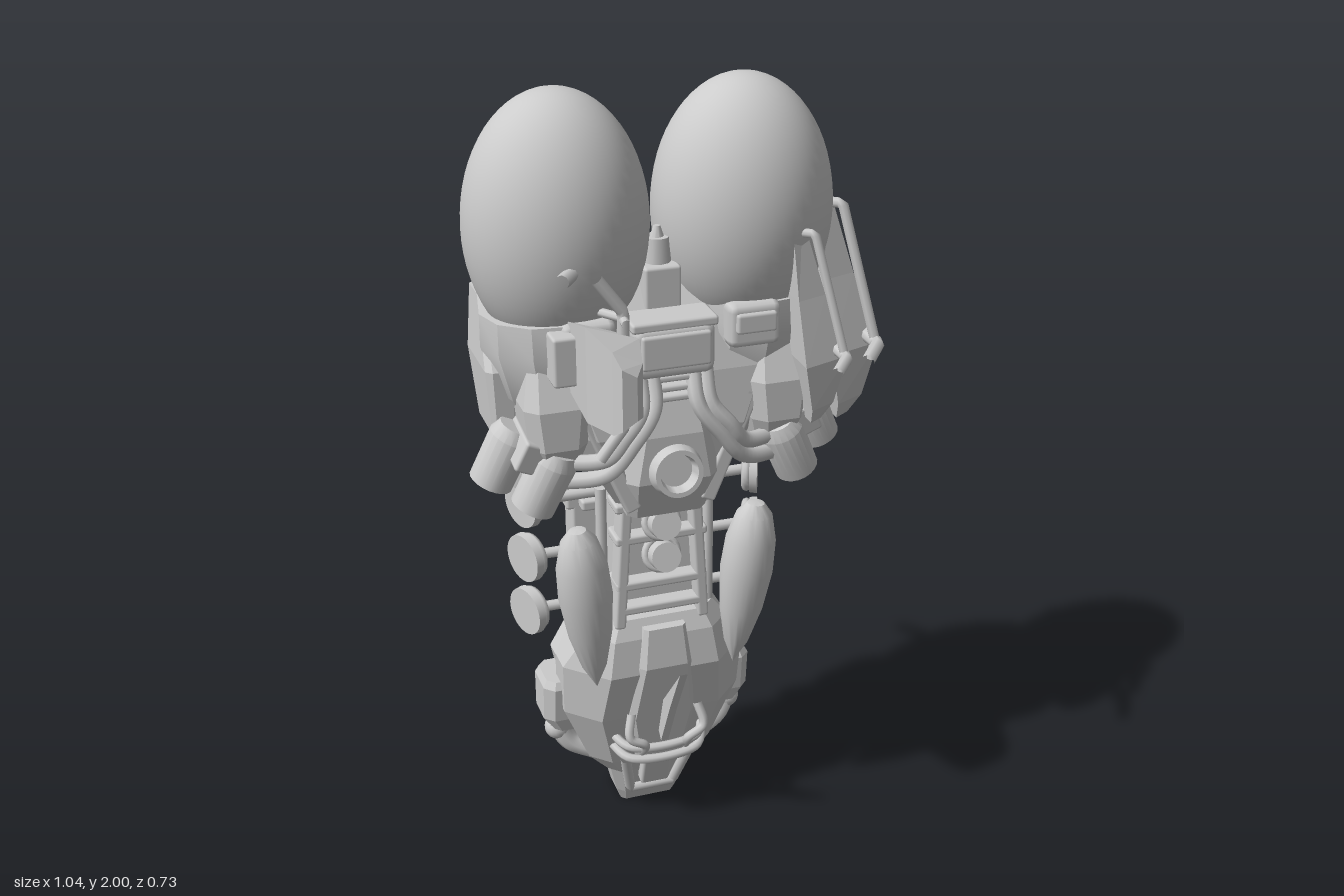
import * as THREE from 'three';
import { toCreasedNormals } from 'three/addons/utils/BufferGeometryUtils.js';
import { RoundedBoxGeometry } from 'three/addons/geometries/RoundedBoxGeometry.js';

const grey = new THREE.MeshStandardMaterial({ color: 0xcccccc });
const V = (x, y, z) => new THREE.Vector3(x, y, z);

function add(parent, name, geo, x = 0, y = 0, z = 0, rx = 0, ry = 0, rz = 0) {
  const m = new THREE.Mesh(geo, grey);
  m.name = name;
  m.position.set(x, y, z);
  m.rotation.set(rx, ry, rz);
  parent.add(m);
  return m;
}
const box = (w, h, d, r = 0.008) => new RoundedBoxGeometry(w, h, d, 1, r);
const cyl = (r1, r2, h, n = 24) => new THREE.CylinderGeometry(r1, r2, h, n);
const lathe = (pts, n = 36) =>
  toCreasedNormals(new THREE.LatheGeometry(pts.map(p => new THREE.Vector2(...p)), n), 0.5);
const tube = (pts, r, bend = true) => {
  const curve = new THREE.CurvePath();
  if (bend) return new THREE.TubeGeometry(new THREE.CatmullRomCurve3(pts), 28, r, 8);
  for (let i = 1; i < pts.length; i++) curve.add(new THREE.LineCurve3(pts[i - 1], pts[i]));
  return new THREE.TubeGeometry(curve, 30, r, 8);
};

// Flat-faced solid through stacked rings of [x, z] points, lowest ring first
function loft(levels) {
  const pos = [], n = levels[0].ring.length;
  const put = (l, j) => pos.push(l.ring[j % n][0], l.y, l.ring[j % n][1]);
  for (let i = 0; i + 1 < levels.length; i++) {
    const a = levels[i], b = levels[i + 1];
    for (let j = 0; j < n; j++) {
      put(a, j); put(b, j); put(a, j + 1);
      put(a, j + 1); put(b, j); put(b, j + 1);
    }
  }
  const lo = levels[0], hi = levels[levels.length - 1];
  for (let j = 1; j < n - 1; j++) {
    put(lo, 0); put(lo, j); put(lo, j + 1);
    put(hi, 0); put(hi, j + 1); put(hi, j);
  }
  const g = new THREE.BufferGeometry();
  g.setAttribute('position', new THREE.Float32BufferAttribute(pos, 3));
  g.computeVertexNormals();
  return g;
}
// Chamfered hull, rows of [y, half width, back z, front z, chamfer]
const hull = rows => loft(rows.map(([y, w, b, f, c]) => ({
  y, ring: [[w, b + c], [w, f - c], [w - c, f], [c - w, f], [-w, f - c], [-w, b + c], [c - w, b], [w - c, b]],
})));

const handlePath = [V(0.4, 1.345, -0.36), V(0.47, 1.345, -0.27), V(0.47, 1.345, 0.055), V(0.4, 1.345, 0.15)];

// Tapered armour pod with two guide rods and a bent cross handle
function pod() {
  const g = new THREE.Group();
  g.name = 'armourPod';
  const rows = [[1.13, 0.4, 0.44, 0.085, 0.06], [1.18, 0.39, 0.47, 0.115, 0.075],
    [1.32, 0.36, 0.505, 0.135, 0.085], [1.5, 0.35, 0.44, 0.09, 0.06], [1.72, 0.34, 0.375, 0.05, 0.035]];
  add(g, 'podShell', loft(rows.map(([y, xi, xo, wi, wo]) => ({
    y, ring: [[xo, -0.1 - wo], [xo, -0.1 + wo], [xi, -0.1 + wi], [xi, -0.1 - wi]],
  }))));
  for (const s of [1, -1]) {
    add(g, 'podRod', tube([V(0.37, 1.68, -0.1 + s * 0.045), V(0.4, 1.68, -0.1 + s * 0.07),
      V(0.47, 1.35, -0.1 + s * 0.135), V(0.465, 1.3, -0.1 + s * 0.135)], 0.013, false));
  }
  add(g, 'podHandle', tube(handlePath, 0.017, false));
  return g;
}

// Round recessed port, opening along its local +y
const port = (r, h) => lathe([[r, 0], [r, h * 0.5], [r * 0.9, h], [r * 0.72, h], [r * 0.62, h * 0.4], [0, h * 0.4]]);

function buildUpper(b) {
  add(b, 'torso', hull([[0.96, 0.1, -0.2, 0.0, 0.03], [1.08, 0.17, -0.24, 0.06, 0.05], [1.2, 0.27, -0.25, 0.08, 0.09],
    [1.34, 0.35, -0.26, 0.07, 0.12], [1.46, 0.34, -0.25, 0.04, 0.12], [1.54, 0.2, -0.2, -0.02, 0.07]]));
  add(b, 'chestPlate', hull([[0.97, 0.1, -0.05, 0.05, 0.02], [1.08, 0.12, -0.05, 0.1, 0.03],
    [1.2, 0.1, -0.05, 0.1, 0.03], [1.36, 0.06, -0.05, 0.06, 0.02]]));
  add(b, 'chestPort', port(0.066, 0.05), 0, 1.11, 0.085, Math.PI / 2 - 0.1);
  add(b, 'backPlate', hull([[1.0, 0.13, -0.25, -0.1, 0.04], [1.12, 0.23, -0.262, -0.1, 0.05],
    [1.34, 0.27, -0.265, -0.1, 0.06], [1.46, 0.16, -0.25, -0.1, 0.05]]));
  add(b, 'upperBackPort', port(0.19, 0.04), 0, 1.22, -0.245, -Math.PI / 2);
  // Head unit and mast
  add(b, 'headBlock', box(0.2, 0.13, 0.2, 0.025), 0, 1.415, 0.015);
  add(b, 'headScreen', box(0.17, 0.085, 0.02), 0, 1.42, 0.11);
  add(b, 'headBrow', box(0.21, 0.025, 0.1), 0, 1.48, 0.06);
  add(b, 'mastBase', box(0.09, 0.12, 0.1), 0, 1.53, -0.03);
  add(b, 'mast', cyl(0.03, 0.035, 0.1, 10), 0, 1.6, -0.03);
  add(b, 'mastTip', cyl(0.008, 0.025, 0.05, 10), 0, 1.65, -0.03);
  for (let i = 0; i < 3; i++) add(b, 'neckCollar', box(0.19 - i * 0.015, 0.018, 0.12), 0, 1.345 - i * 0.025, 0.04);
  // Hoses arching behind the tanks
  for (let i = 0; i < 3; i++) {
    const w = 0.11 - i * 0.02, z = -0.29 + i * 0.04;
    add(b, 'rearHose', tube([V(-w - 0.06, 1.38, z + 0.1), V(-w, 1.47, z + 0.03), V(0, 1.5 + i * 0.03, z - 0.01),
      V(w, 1.47, z + 0.03), V(w + 0.06, 1.38, z + 0.1)], 0.014));
  }
  for (const s of [1, -1]) {
    // Tank, its cradle and the claw behind it
    const tank = add(b, 'eggTank', new THREE.SphereGeometry(1, 48, 32), s * 0.226, 1.69, -0.08);
    tank.scale.set(0.217, 0.31, 0.198);
    const cup = add(b, 'tankCradle', lathe([[0, 0], [0.09, 0], [0.15, 0.1], [0.18, 0.22], [0.175, 0.3], [0.15, 0.3]], 12),
      s * 0.225, 1.2, -0.08, 0, 0, -s * 0.05);
    cup.scale.z = 0.95;
    add(b, 'tankClaw', new THREE.TorusGeometry(0.075, 0.022, 8, 20, 4.2), s * 0.22, 1.45, -0.24, 0.3, 0, -0.55);
    add(b, 'rearFin', hull([[1.2, 0.03, -0.08, 0.08, 0.01], [1.36, 0.04, -0.13, 0.08, 0.015],
      [1.51, 0.025, -0.14, -0.04, 0.01]]), s * 0.375, 0, -0.11);
    add(b, 'shoulderBlock', box(0.13, 0.11, 0.16, 0.02), s * 0.2, 1.45, 0.02);
    add(b, 'shoulderLid', box(0.1, 0.05, 0.02), s * 0.2, 1.46, 0.1);
    add(b, 'hipArmour', hull([[1.1, 0.04, -0.18, 0.06, 0.02], [1.2, 0.07, -0.22, 0.1, 0.03],
      [1.3, 0.08, -0.22, 0.1, 0.03], [1.4, 0.06, -0.18, 0.06, 0.02]]), s * 0.275);
    // Front hoses
    for (let i = 0; i < 2; i++) {
      add(b, 'frontHose', tube([V(s * (0.05 + i * 0.03), 1.36, 0.08), V(s * (0.055 + i * 0.03), 1.28, 0.11),
        V(s * (0.11 + i * 0.02), 1.2 + i * 0.02, 0.12), V(s * 0.17, 1.13 + i * 0.04, 0.11),
        V(s * 0.28, 1.1 + i * 0.05, 0.05)], 0.02));
    }
    add(b, 'chestStrut', box(0.04, 0.3, 0.05), s * 0.15, 1.14, 0.05, 0, 0, -s * 0.4);
    // Thruster cluster
    const cluster = new THREE.Group();
    cluster.name = 'thrusterCluster';
    cluster.position.set(s * 0.345, 1.14, 0);
    cluster.rotation.set(0.15, 0, s * 0.42);
    const nozzle = lathe([[0, -0.06], [0.042, -0.06], [0.046, -0.08], [0.054, -0.08], [0.056, 0.05], [0.042, 0.08], [0, 0.08]], 20);
    for (const [x, z] of [[-0.045, 0.055], [0.045, -0.02], [-0.04, -0.06]]) add(cluster, 'thruster', nozzle, s * x, 0, z);
    add(cluster, 'thrusterMount', box(0.12, 0.08, 0.16), -0.01 * s, 0.05, 0);
    b.add(cluster);
  }
}

function buildWaist(b) {
  add(b, 'waistCore', box(0.2, 0.46, 0.18), 0, 0.82, -0.13);
  add(b, 'spine', box(0.1, 0.56, 0.08), 0, 0.8, -0.235);
  for (const y of [0.92, 0.83]) {
    add(b, 'waistValve', cyl(0.038, 0.038, 0.07), 0, y, 0, Math.PI / 2 - 0.25);
    add(b, 'valveCollar', new THREE.TorusGeometry(0.042, 0.01, 8, 20), 0, y, -0.01, -0.25);
  }
  for (const y of [0.68, 0.75, 0.88, 0.97]) add(b, 'waistBar', box(0.24, 0.025, 0.08), 0, y, -0.04);
  for (const s of [1, -1]) {
    add(b, 'waistStrut', box(0.03, 0.36, 0.06), s * 0.1, 0.81, -0.03, 0, 0, s * 0.06);
    add(b, 'waistPipe', cyl(0.014, 0.014, 0.42, 10), s * 0.14, 0.8, -0.06);
    // Teardrop side guard
    const guard = add(b, 'sideGuard', lathe([[0, -0.29], [0.032, -0.22], [0.056, -0.12], [0.068, -0.01],
      [0.064, 0.08], [0.046, 0.15], [0.022, 0.18], [0, 0.185]], 28), s * 0.212, 0.78, 0.035, 0.05, 0, -s * 0.1);
    guard.scale.z = 0.92;
    // H-shaped rear bracket
    add(b, 'bracketPlate', box(0.08, 0.2, 0.08), s * 0.135, 0.8, -0.24);
    for (const y of [0.69, 0.91]) {
      add(b, 'bracketBlock', box(0.11, 0.05, 0.1), s * 0.135, y, -0.25);
      add(b, 'bracketArm', box(0.12, 0.03, 0.04), s * 0.1, y, -0.18);
    }
    // Three tilted side discs, each backed by an open ring
    for (const y of [0.94, 0.785, 0.63]) {
      add(b, 'sideDisc', cyl(0.063, 0.065, 0.02, 28), s * 0.308, y, -0.175, 0, -s * 0.4, Math.PI / 2);
      add(b, 'discRim', new THREE.TorusGeometry(0.048, 0.013, 8, 24), s * 0.292, y, -0.183, 0, Math.PI / 2 - s * 0.4);
      add(b, 'discAxle', cyl(0.014, 0.014, 0.17, 10), s * 0.2, y, -0.18, 0, 0, Math.PI / 2);
    }
  }
}

function buildLower(b) {
  add(b, 'lowerHull', hull([[0.13, 0.12, -0.25, -0.09, 0.03], [0.18, 0.17, -0.26, -0.07, 0.05], [0.35, 0.24, -0.255, -0.02, 0.08],
    [0.5, 0.245, -0.255, 0.02, 0.1], [0.6, 0.19, -0.24, 0.01, 0.06], [0.65, 0.15, -0.2, -0.01, 0.04]]));
  add(b, 'lowerBackPlate', hull([[0.13, 0.1, -0.25, -0.2, 0.015], [0.3, 0.2, -0.262, -0.18, 0.015],
    [0.47, 0.235, -0.262, -0.18, 0.015], [0.55, 0.19, -0.26, -0.18, 0.015], [0.64, 0.09, -0.25, -0.18, 0.015]]));
  add(b, 'foot', hull([[0, 0.075, -0.2, -0.14, 0.012], [0.04, 0.09, -0.215, -0.12, 0.02], [0.2, 0.13, -0.24, -0.07, 0.03]]));
  add(b, 'toeFrame', tube([V(-0.09, 0.2, -0.05), V(-0.06, 0.06, -0.11), V(0.06, 0.06, -0.11), V(0.09, 0.2, -0.05)], 0.014, false));
  add(b, 'toeBlock', box(0.08, 0.1, 0.04), 0, 0.14, -0.08, 0.3);
  add(b, 'frontPanel', hull([[0.2, 0.06, -0.1, -0.03, 0.01], [0.35, 0.09, -0.08, 0.0, 0.015],
    [0.52, 0.07, -0.06, 0.035, 0.015], [0.63, 0.055, -0.06, 0.025, 0.01]]));
  // Upright blade with a cross bumper at its root
  const blade = new THREE.Shape([[-0.01, 0.3], [0.03, 0.42], [0.165, 0.575], [0.08, 0.42], [0.01, 0.28]]
    .map(p => new THREE.Vector2(-p[0], p[1])));
  add(b, 'blade', new THREE.ExtrudeGeometry(blade, { depth: 0.02, bevelEnabled: false }), -0.01, 0, 0, 0, Math.PI / 2);
  for (const y of [0.235, 0.27]) add(b, 'bumperBar', tube([V(-0.13, y + 0.02, -0.07), V(-0.09, y, 0), V(0.09, y, 0), V(0.13, y + 0.02, -0.07)], 0.012));
  add(b, 'lowerBackPort', port(0.122, 0.055), 0, 0.37, -0.245, -Math.PI / 2);
  for (const s of [1, -1]) {
    add(b, 'bumperHorn', tube([V(s * 0.06, 0.25, 0), V(s * 0.06, 0.29, 0.03), V(s * 0.1, 0.32, 0.03), V(s * 0.09, 0.38, 0.01)], 0.012));
    add(b, 'cheek', hull([[0.27, 0.03, -0.23, -0.13, 0.015], [0.31, 0.06, -0.25, -0.12, 0.025],
      [0.41, 0.06, -0.25, -0.11, 0.025], [0.43, 0.05, -0.24, -0.12, 0.02]]), s * 0.225);
    add(b, 'cheekKnob', new THREE.SphereGeometry(0.035, 16, 12), s * 0.24, 0.255, -0.18);
    add(b, 'cheekArm', tube([V(s * 0.245, 0.28, -0.18), V(s * 0.21, 0.21, -0.17), V(s * 0.14, 0.17, -0.16)], 0.028));
  }
}

export function createModel() {
  const model = new THREE.Group();
  model.name = 'model';
  const body = new THREE.Group();
  body.name = 'body';
  body.position.x = -0.064;
  model.add(body);
  buildUpper(body);
  buildWaist(body);
  buildLower(body);

  // Pods: two on the left flank, one lying forward on the right
  const outer = pod(), inner = pod(), forward = pod();
  inner.scale.setScalar(0.85);
  inner.position.set(-0.07, 0.235, 0.14);
  forward.scale.setScalar(0.85);
  forward.rotation.x = -Math.PI / 2;
  forward.position.set(-0.61, 1.51, 1.32);
  model.add(outer, inner, forward);
  add(model, 'podBracket', box(0.2, 0.1, 0.12), 0.3, 1.3, -0.1);
  add(model, 'forwardPodBracket', box(0.08, 0.12, 0.1), -0.32, 1.43, 0.08);
  add(model, 'rightHandle', tube(handlePath, 0.017, false), -0.74, 0.285, 0);
  return model;
}
